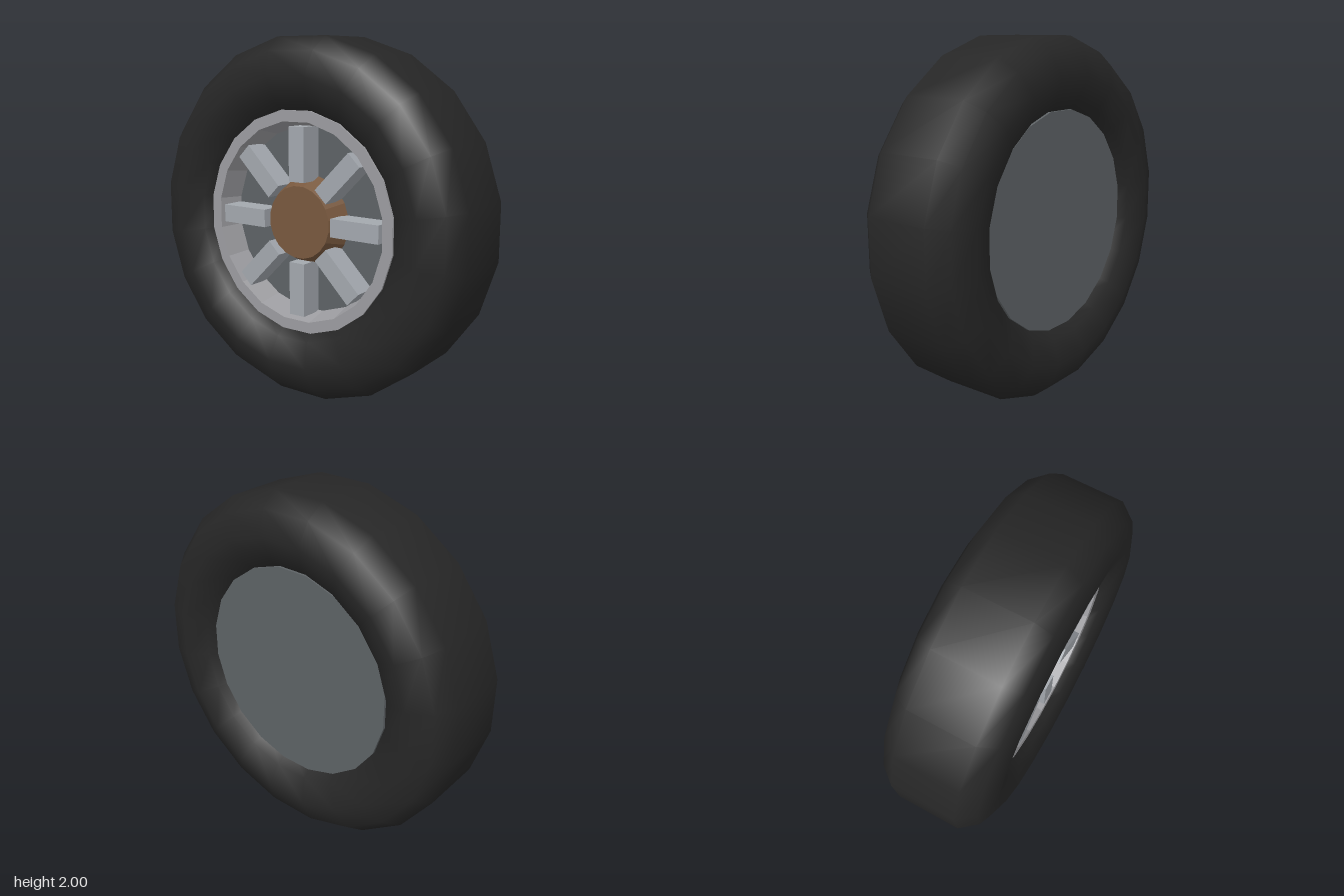
import * as THREE from 'three';

const SIDES = 20;
const HALF = Math.PI / SIDES;          // turns a flat side to the ground
const FIT = 1 / Math.cos(HALF);        // flat-side radius -> corner radius

const material = (name, color, flatShading = false) => {
  const m = new THREE.MeshStandardMaterial({ color, flatShading });
  m.name = name;
  return m;
};

// Closed ring around z from [radius, z] points
function ring(points) {
  const profile = points.map(([r, z]) => new THREE.Vector2(r * FIT, z));
  return new THREE.LatheGeometry(profile, SIDES, HALF).rotateX(Math.PI / 2);
}

// Solid drum around z, from back to front
function drum(rFront, rBack, zBack, zFront) {
  return new THREE.CylinderGeometry(rFront * FIT, rBack * FIT, zFront - zBack, SIDES, 1, false, HALF)
    .rotateX(Math.PI / 2)
    .translate(0, 0, (zFront + zBack) / 2);
}

export function createModel() {
  const rubber = material('black rubber', 0x262626);
  const rimMetal = material('rim grey', 0x9c9ca0, true);
  const spokeMetal = material('spoke grey', 0xa3a8ae, true);
  const darkMetal = material('dark steel', 0x5d6265, true);
  const brown = material('hub brown', 0x78583e, true);

  const wheel = new THREE.Group();
  wheel.name = 'wheel';
  const add = (name, geometry, mat, parent = wheel) => {
    const mesh = new THREE.Mesh(geometry, mat);
    mesh.name = name;
    parent.add(mesh);
    return mesh;
  };

  // Tyre with rounded shoulders
  add('tyre', ring([
    [0.58, -0.185], [0.65, -0.28], [0.79, -0.33], [0.925, -0.28], [1, -0.185],
    [1, 0.185], [0.925, 0.28], [0.79, 0.33], [0.65, 0.28], [0.58, 0.185], [0.58, -0.185],
  ]), rubber);

  // Barrel: closed back plate and the floor behind the spokes
  add('barrel', drum(0.61, 0.61, -0.24, 0.1), darkMetal);

  // Front rim with a tapered inner wall
  add('rim', ring([[0.612, 0.09], [0.612, 0.24], [0.55, 0.24], [0.515, 0.09]]), rimMetal);

  // Tapered hub
  add('hub', drum(0.2, 0.255, 0.09, 0.215), brown);

  // Eight box spokes
  const spokes = new THREE.Group();
  spokes.name = 'spokes';
  for (let i = 0; i < 8; i++) {
    const bar = new THREE.BoxGeometry(0.3, 0.1, 0.14).translate(0.375, 0, 0.165);
    add('spoke', bar, spokeMetal, spokes).rotation.z = i * Math.PI / 4;
  }
  wheel.add(spokes);

  wheel.position.y = 1;
  const model = new THREE.Group();
  model.name = 'wheelModel';
  model.add(wheel);
  return model;
}
